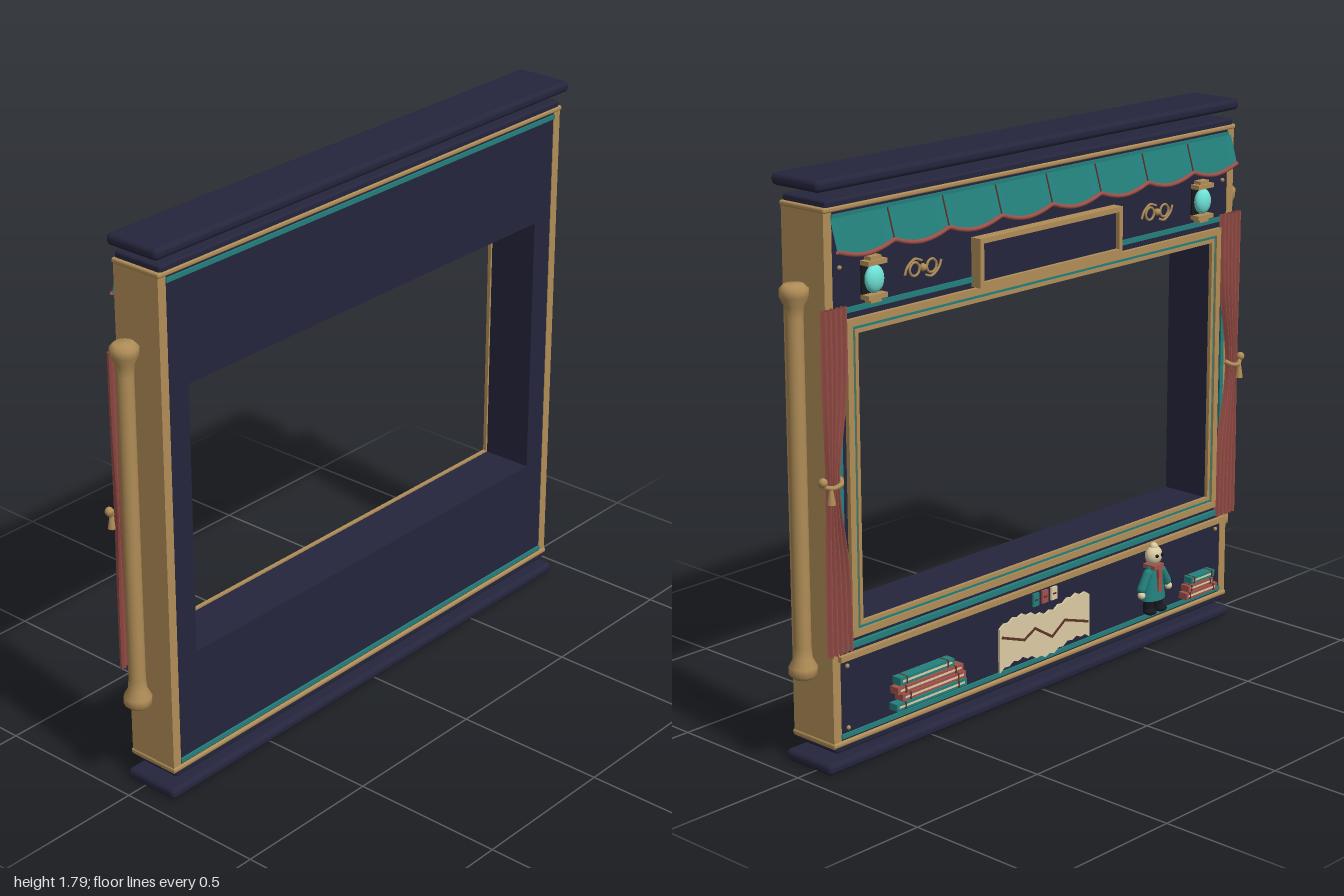
import * as THREE from 'three';
import { RoundedBoxGeometry } from 'three/addons/geometries/RoundedBoxGeometry.js';

const mat = (name, color, side = THREE.FrontSide) => {
  const m = new THREE.MeshStandardMaterial({ color, side });
  m.name = name;
  return m;
};

export function createModel() {
  const model = new THREE.Group();
  model.name = 'puppetTheatre';
  const navy = mat('navy', 0x25253d), gold = mat('gold', 0xb08d57);
  const teal = mat('teal', 0x23807c, THREE.DoubleSide), red = mat('red', 0xa0524b, THREE.DoubleSide);
  const cream = mat('cream', 0xdccba4, THREE.DoubleSide), glow = mat('glow', 0x6fe3d8);
  const brown = mat('brown', 0x5e3328), dark = mat('dark', 0x17171f);
  const BACK = -0.066;

  const add = (name, geo, m, x = 0, y = 0, z = 0, parent = model) => {
    const mesh = new THREE.Mesh(geo, m);
    mesh.name = name;
    mesh.position.set(x, y, z);
    parent.add(mesh);
    return mesh;
  };
  const box = (name, m, w, h, d, x, y, z, parent) => add(name, new THREE.BoxGeometry(w, h, d), m, x, y, z, parent);
  // box standing on the decorated rear face, d deep
  const plate = (name, m, w, h, d, x, y, parent) => box(name, m, w, h, d, x, y, BACK - d / 2, parent);
  const tube = (name, m, pts, r, parent, n = 40) => add(name, new THREE.TubeGeometry(
    new THREE.CatmullRomCurve3(pts.map(p => new THREE.Vector3(...p))), n, r, 6), m, 0, 0, 0, parent);
  const rectFrame = (name, m, w, h, t, d, y) => {
    const s = new THREE.Shape([[-w, -h], [w, -h], [w, h], [-w, h]].map(p => new THREE.Vector2(p[0] / 2, p[1] / 2)));
    const a = w / 2 - t, b = h / 2 - t;
    s.holes.push(new THREE.Path([[-a, -b], [-a, b], [a, b], [a, -b]].map(p => new THREE.Vector2(...p))));
    return add(name, new THREE.ExtrudeGeometry(s, { depth: d, bevelEnabled: false }), m, 0, y, BACK - d);
  };

  // Floating slabs above and below
  for (const [name, y] of [['baseSlab', 0.018], ['topSlab', 1.77]])
    add(name, new RoundedBoxGeometry(1.87, 0.036, 0.197, 3, 0.015), navy, 0, y, 0.028);

  // Hollow body
  box('upperPanel', navy, 1.762, 0.36, 0.17, 0, 1.515, 0.021);
  box('lowerPanel', navy, 1.762, 0.375, 0.17, 0, 0.2675, 0.021);
  for (const s of [-1, 1]) {
    box('sidePanel', navy, 0.082, 0.88, 0.17, s * 0.841, 0.895, 0.021);
    box('sidePost', gold, 0.031, 1.62, 0.174, s * 0.8965, 0.89, 0.021);
  }
  for (const [y0, d] of [[0.09, 1], [1.7, -1]]) {
    add('bodyCap', new RoundedBoxGeometry(1.81, 0.03, 0.178, 2, 0.008), navy, 0, y0 - d * 0.012, 0.021);
    add('goldMoulding', new RoundedBoxGeometry(1.83, 0.016, 0.186, 2, 0.006), gold, 0, y0, 0.021);
    box('tealMoulding', teal, 1.764, 0.014, 0.182, 0, y0 + d * 0.022, 0.021);
  }

  // Window surround and rails
  rectFrame('windowOuterTrim', teal, 1.75, 1.03, 0.016, 0.006, 0.895);
  rectFrame('windowGoldFrame', gold, 1.68, 0.96, 0.022, 0.014, 0.895);
  rectFrame('windowInnerTrim', teal, 1.64, 0.92, 0.012, 0.008, 0.895);
  rectFrame('windowInnerLip', gold, 1.616, 0.896, 0.012, 0.012, 0.895);
  plate('tealRail', teal, 1.76, 0.016, 0.012, 0, 0.392);
  plate('goldRail', gold, 1.78, 0.018, 0.014, 0, 0.36);

  // Sign board
  rectFrame('signFrame', gold, 0.64, 0.15, 0.016, 0.038, 1.455);
  plate('signBoard', navy, 0.61, 0.12, 0.024, 0, 1.455);

  // Scalloped valance leaning outwards
  const hem = x => 1.585 - 0.022 * Math.abs(Math.sin(x * Math.PI / 0.2225));
  const val = new THREE.PlaneGeometry(1.78, 1, 96, 4), p = val.attributes.position;
  for (let i = 0; i < p.count; i++) {
    const t = 0.5 - p.getY(i), x = p.getX(i);
    p.setXYZ(i, x, 1.675 + (hem(x) - 1.675) * t, BACK - 0.005 - 0.028 * t);
  }
  val.computeVertexNormals();
  add('valance', val, teal);
  tube('valanceTrim', red, Array.from({ length: 65 }, (_, i) => {
    const x = -0.89 + 1.78 * i / 64;
    return [x, hem(x), BACK - 0.033];
  }), 0.007, model, 128);
  for (let i = -3; i <= 3; i++) {
    const x = i * 0.2225;
    tube('valanceSeam', brown, [[x, 1.675, BACK - 0.006], [x, hem(x), BACK - 0.034]], 0.0025, model, 2);
  }

  const poleProfile = [[0, 0.3], [0.03, 0.302], [0.043, 0.315], [0.043, 0.338], [0.029, 0.365], [0.026, 0.4],
    [0.026, 1.39], [0.029, 1.425], [0.043, 1.452], [0.043, 1.475], [0.03, 1.488], [0, 1.49]].map(q => new THREE.Vector2(...q));
  for (const s of [-1, 1]) {
    // Turned side poles
    add('sidePole', new THREE.LatheGeometry(poleProfile, 14), gold, s * 0.957, 0, 0.012);

    // Pleated curtain gathered at the waist
    const c = new THREE.PlaneGeometry(1, 1.04, 40, 24), q = c.attributes.position;
    for (let i = 0; i < q.count; i++) {
      const u = q.getX(i) + 0.5, y = q.getY(i) + 0.9;
      const pinch = Math.exp(-(((y - 0.9) / 0.2) ** 2));
      const inner = 0.84 + 0.045 * pinch, outer = 0.938 - 0.008 * pinch;
      q.setXYZ(i, s * (inner + (outer - inner) * u), y, BACK - 0.015 + 0.009 * Math.cos(u * Math.PI * 10));
    }
    c.computeVertexNormals();
    add('curtain', c, red);

    // Tieback with tassel
    tube('tieback', gold, [[s * 0.875, 0.915, BACK - 0.012], [s * 0.89, 0.905, BACK - 0.03],
      [s * 0.925, 0.9, BACK - 0.03], [s * 0.95, 0.91, BACK - 0.016], [s * 0.962, 0.925, BACK - 0.018]], 0.008);
    add('tiebackKnob', new THREE.SphereGeometry(0.014, 10, 8), gold, s * 0.95, 0.92, BACK - 0.018);
    add('tassel', new THREE.CylinderGeometry(0.006, 0.013, 0.045, 8), gold, s * 0.93, 0.875, BACK - 0.03);

    // Lantern
    const lantern = new THREE.Group();
    lantern.name = 'lantern';
    lantern.position.set(s * 0.735, 1.48, 0);
    model.add(lantern);
    plate('lanternBack', dark, 0.075, 0.11, 0.006, 0, 0, lantern);
    add('lanternGlass', new THREE.SphereGeometry(0.036, 18, 12), glow, 0, 0, BACK - 0.018, lantern).scale.set(0.95, 1.15, 0.6);
    for (const t of [-1, 1]) {
      plate('lanternCap', gold, 0.076, 0.014, 0.034, 0, t * 0.05, lantern);
      plate('lanternFinial', gold, 0.044, 0.012, 0.026, 0, t * 0.062, lantern);
    }

    // Scroll ornament
    for (const t of [-1, 1]) {
      const x = s * 0.525 + t * 0.035;
      add('scrollLoop', new THREE.TorusGeometry(0.02, 0.004, 6, 18), gold, x, 1.475, BACK - 0.004);
      tube('scrollTail', gold, [[x - t * 0.03, 1.475 + t * 0.022, BACK - 0.004], [x, 1.475 + t * 0.03, BACK - 0.004],
        [x + t * 0.03, 1.475 + t * 0.01, BACK - 0.004], [x + t * 0.04, 1.475 - t * 0.012, BACK - 0.004]], 0.004);
    }
    add('scrollBead', new THREE.SphereGeometry(0.012, 10, 8), gold, s * 0.525, 1.475, BACK - 0.004);

    // Studs
    for (const y of [0.135, 0.33, 1.37, 1.53])
      add('stud', new THREE.SphereGeometry(0.007, 8, 6), gold, s * 0.855, y, BACK - 0.002);
  }

  // Stacked books: [x, y, width, height, cover]
  const books = [[0.535, 0.152, 0.30, 0.022, teal], [0.525, 0.178, 0.27, 0.022, red],
    [0.54, 0.204, 0.28, 0.022, red], [0.555, 0.232, 0.23, 0.024, teal],
    [-0.75, 0.142, 0.16, 0.022, red], [-0.745, 0.167, 0.13, 0.02, red], [-0.755, 0.192, 0.12, 0.022, teal]];
  for (const [x, y, w, h, m] of books) {
    plate('bookCover', m, w, h, 0.034, x, y);
    plate('bookPages', cream, w - 0.02, h * 0.3, 0.035, x, y);
    for (const t of [-1, 1]) plate('bookBand', brown, 0.006, h + 0.001, 0.0355, x + t * w * 0.38, y);
  }

  // Torn map with a route
  const edge = [];
  for (let i = 0; i <= 20; i++) edge.push([-0.21 + 0.021 * i, 0.125 + (i % 2) * 0.008 + 0.012 * Math.sin(i * 0.5)]);
  for (let i = 20; i >= 0; i--) edge.push([-0.21 + 0.021 * i, 0.27 + (i % 2) * 0.008 + 0.012 * Math.sin(i * 0.5)]);
  add('map', new THREE.ExtrudeGeometry(new THREE.Shape(edge.map(e => new THREE.Vector2(...e))),
    { depth: 0.008, bevelEnabled: false }), cream, 0, 0, BACK - 0.008);
  const route = [[0.2, 0.235], [0.1, 0.2], [0.05, 0.225], [-0.03, 0.175], [-0.09, 0.215], [-0.2, 0.18]];
  for (let i = 1; i < route.length; i++) {
    const [a, b] = route[i - 1], [c, d] = route[i];
    box('mapRoute', brown, Math.hypot(c - a, d - b) + 0.004, 0.008, 0.003, (a + c) / 2, (b + d) / 2, BACK - 0.009)
      .rotation.z = Math.atan2(d - b, c - a);
  }
  // Small tickets above the map
  [teal, red, cream].forEach((m, i) => {
    plate('ticket', m, 0.028, 0.042, 0.008, 0.042 - i * 0.042, 0.318);
    plate('ticketMark', brown, 0.014, 0.006, 0.009, 0.042 - i * 0.042, 0.318);
  });

  // Puppet
  const puppet = new THREE.Group();
  puppet.name = 'puppet';
  puppet.position.set(-0.51, 0, BACK - 0.022);
  model.add(puppet);
  const ball = (name, m, r, x, y, z) => add(name, new THREE.SphereGeometry(r, 14, 10), m, x, y, z, puppet);
  add('coat', new THREE.CylinderGeometry(0.03, 0.05, 0.115, 14), teal, 0, 0.238, 0, puppet).scale.z = 0.65;
  ball('head', cream, 0.033, 0, 0.33, 0).scale.z = 0.8;
  ball('hair', cream, 0.014, 0, 0.36, 0);
  box('scarf', red, 0.05, 0.014, 0.05, 0, 0.294, 0, puppet);
  box('shirtFront', red, 0.018, 0.08, 0.01, 0, 0.248, -0.026, puppet);
  for (const s of [-1, 1]) {
    ball('eye', dark, 0.006, s * 0.012, 0.334, -0.025);
    const arm = add('arm', new THREE.CapsuleGeometry(0.016, 0.055, 4, 8), teal, s * 0.048, 0.25, -0.004, puppet);
    arm.rotation.z = s * 0.55;
    ball('hand', cream, 0.013, s * 0.068, 0.208, -0.008);
    add('leg', new THREE.CylinderGeometry(0.017, 0.019, 0.05, 8), dark, s * 0.022, 0.16, 0, puppet);
    ball('shoe', dark, 0.02, s * 0.026, 0.142, -0.01).scale.set(1.1, 0.6, 1.1);
  }
  return model;
}
